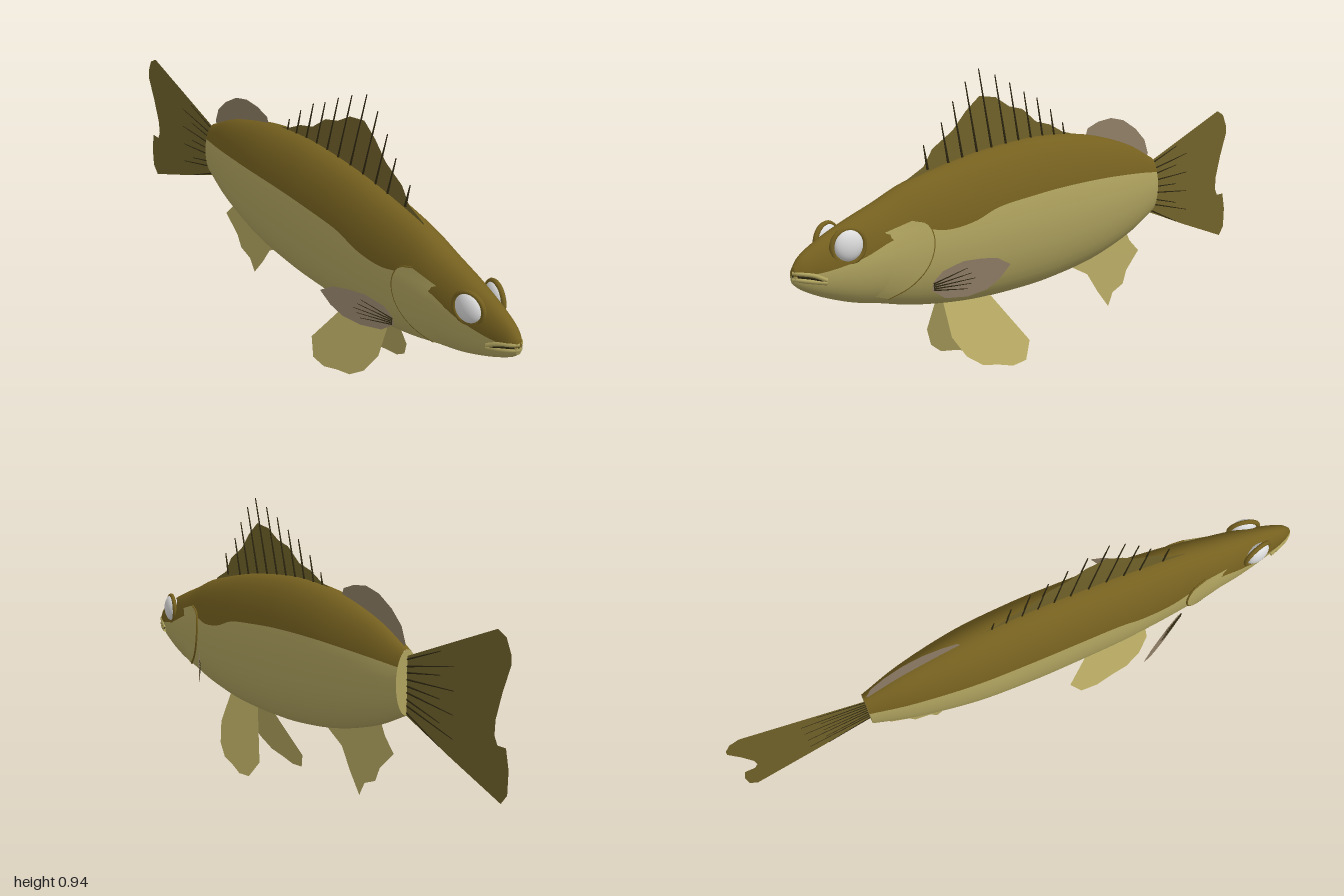
import * as THREE from 'three';

const mat = (name, color, side = THREE.FrontSide) => {
  const m = new THREE.MeshStandardMaterial({ color, side });
  m.name = name;
  return m;
};

// Body stations from nose to tail: z, top y, bottom y, half width, y of the colour boundary
const STATIONS = [
  [1.0, 0.452, 0.405, 0.012, 0.43], [0.97, 0.485, 0.382, 0.028, 0.43], [0.9, 0.522, 0.348, 0.046, 0.435],
  [0.8, 0.56, 0.312, 0.066, 0.455], [0.7, 0.593, 0.288, 0.079, 0.49], [0.6, 0.63, 0.262, 0.089, 0.505],
  [0.5, 0.653, 0.244, 0.099, 0.492], [0.4, 0.672, 0.23, 0.106, 0.502], [0.3, 0.687, 0.222, 0.111, 0.53],
  [0.15, 0.7, 0.219, 0.114, 0.543], [0, 0.703, 0.224, 0.115, 0.55], [-0.2, 0.682, 0.248, 0.107, 0.547],
  [-0.4, 0.628, 0.3, 0.077, 0.53], [-0.545, 0.56, 0.36, 0.041, 0.51],
];
const spline = (a, b) => new THREE.CatmullRomCurve3(
  STATIONS.map((s) => new THREE.Vector3(s[0], s[a], s[b])), false, 'catmullrom', 0.5);
const heights = spline(1, 2), widths = spline(3, 4);

function sectionAt(t) {
  const p = heights.getPoint(t), q = widths.getPoint(t);
  return { z: p.x, cy: (p.y + p.z) / 2, h: (p.y - p.z) / 2, w: q.y, yb: q.z };
}

// Half width of the body at a given z and y
function bodyX(z, y) {
  let lo = 0, hi = 1;
  for (let i = 0; i < 30; i++) {
    const mid = (lo + hi) / 2;
    if (heights.getPoint(mid).x > z) lo = mid; else hi = mid;
  }
  const s = sectionAt(lo);
  return s.w * Math.sqrt(Math.max(0, 1 - ((y - s.cy) / s.h) ** 2));
}

// Lofted elliptical body, split into back and belly along the boundary line
function bodyGeometry() {
  const ROWS = 90, UP = 9, LOW = 11, COLS = 2 * (UP + LOW);
  const pos = [], back = [], belly = [];
  for (let i = 0; i <= ROWS; i++) {
    const s = sectionAt(i / ROWS);
    const split = Math.acos(THREE.MathUtils.clamp((s.yb - s.cy) / s.h, -0.95, 0.95));
    for (let j = 0; j < COLS; j++) {
      const k = Math.min(j, COLS - j);
      const a = k <= UP ? (split * k) / UP : split + ((Math.PI - split) * (k - UP)) / LOW;
      pos.push((j <= COLS / 2 ? 1 : -1) * s.w * Math.sin(a), s.cy + s.h * Math.cos(a), s.z);
    }
  }
  const nose = pos.length / 3;
  pos.push(0, 0.43, 1.003);
  for (let j = 0; j < COLS; j++) {
    const n = (j + 1) % COLS;
    const out = j < UP || j >= COLS - UP ? back : belly;
    out.push(nose, n, j);
    for (let i = 0; i < ROWS; i++) {
      const a = i * COLS + j, b = i * COLS + n;
      out.push(a, b, a + COLS, b, b + COLS, a + COLS);
    }
  }
  const g = new THREE.BufferGeometry();
  g.setAttribute('position', new THREE.Float32BufferAttribute(pos, 3));
  g.setIndex([...back, ...belly]);
  g.addGroup(0, back.length, 0);
  g.addGroup(back.length, belly.length, 1);
  g.computeVertexNormals();
  return g;
}

export function createModel() {
  const root = new THREE.Group();
  const D = THREE.DoubleSide;
  const backMat = mat('olive back', 0x75601f);
  const bellyMat = mat('pale belly', 0xb0a35f, D);
  const tailMat = mat('olive fin', 0x71622a, D);
  const paleFin = mat('pale fin', 0xb8aa64, D);
  const brownFin = mat('brown fin', 0x8f7e66, D);
  const rayMat = mat('dark ray', 0x2e2710);
  const eyeMat = mat('eye white', 0xdcdcdc);

  const add = (name, geometry, material, parent = root) => {
    const m = new THREE.Mesh(geometry, material);
    m.name = name;
    parent.add(m);
    return m;
  };

  // Flat fin from a [z, y] outline; xOf(z, y) tilts it sideways
  const fin = (name, points, material, xOf = () => 0) => {
    const g = new THREE.ShapeGeometry(new THREE.Shape(points.map((p) => new THREE.Vector2(...p))));
    const p = g.attributes.position;
    for (let i = 0; i < p.count; i++) {
      const z = p.getX(i), y = p.getY(i);
      p.setXYZ(i, xOf(z, y), y, z);
    }
    g.computeVertexNormals();
    return add(name, g, material);
  };

  // Thin tapered ray between two [z, y] points
  const ray = (name, a, b, r, xOf = () => 0) => {
    const p = new THREE.Vector3(xOf(...a), a[1], a[0]), q = new THREE.Vector3(xOf(...b), b[1], b[0]);
    const d = q.clone().sub(p);
    const m = add(name, new THREE.CylinderGeometry(r * 0.4, r, d.length(), 5), rayMat);
    m.position.copy(p).add(q).multiplyScalar(0.5);
    m.quaternion.setFromUnitVectors(new THREE.Vector3(0, 1, 0), d.normalize());
  };

  const tube = (name, pts, r, material) => add(name, new THREE.TubeGeometry(
    new THREE.CatmullRomCurve3(pts.map((p) => new THREE.Vector3(...p))), 24, r, 6), material);

  add('body', bodyGeometry(), [backMat, bellyMat]);
  const end = add('tailStump', new THREE.CircleGeometry(1, 32), bellyMat);
  end.scale.set(0.041, 0.1, 1);
  end.rotation.y = Math.PI;
  end.position.set(0, 0.46, -0.545);

  // Spiny dorsal fin, leaning very slightly to one side
  const lean = (z, y) => Math.max(0, y - 0.69) * 0.04;
  fin('spinyDorsalFin', [[0.585, 0.62], [0.585, 0.638], [0.515, 0.67], [0.48, 0.72], [0.4, 0.765], [0.345, 0.82],
    [0.29, 0.86], [0.22, 0.85], [0.16, 0.815], [0.1, 0.8], [0.035, 0.752], [-0.03, 0.735], [-0.09, 0.705],
    [-0.145, 0.69], [-0.145, 0.67], [0.2, 0.67]], tailMat, lean);
  const spineTips = [[0.515, 0.735], [0.445, 0.795], [0.4, 0.855], [0.35, 0.91], [0.295, 0.945], [0.225, 0.92],
    [0.16, 0.89], [0.095, 0.855], [0.035, 0.83], [-0.03, 0.785], [-0.09, 0.735]];
  spineTips.forEach(([z, y]) => ray('dorsalSpine', [z - (y - 0.67) * 0.25, 0.66], [z, y], 0.0045, lean));

  // Soft dorsal fin
  fin('softDorsalFin', [[-0.2, 0.66], [-0.215, 0.7], [-0.27, 0.717], [-0.335, 0.722], [-0.4, 0.707], [-0.465, 0.67],
    [-0.515, 0.625], [-0.535, 0.575], [-0.52, 0.55], [-0.38, 0.61]], brownFin);

  // Tail fin with a fan of rays
  fin('tailFin', [[-0.53, 0.535], [-0.75, 0.613], [-0.94, 0.68], [-0.975, 0.662], [-0.995, 0.62], [-0.997, 0.59],
    [-0.965, 0.51], [-0.94, 0.43], [-0.937, 0.385], [-0.95, 0.36], [-0.985, 0.36], [-0.998, 0.3], [-0.995, 0.23],
    [-0.97, 0.2], [-0.75, 0.28], [-0.53, 0.365]], tailMat);
  for (let i = 0; i < 9; i++) {
    const k = i / 8;
    ray('tailRay', [-0.53, 0.375 + 0.15 * k], [-0.7 - 0.06 * (i % 2), 0.3 + 0.28 * k], 0.003);
  }

  // Anal fin
  fin('analFin', [[-0.1, 0.26], [-0.13, 0.238], [-0.215, 0.195], [-0.265, 0.125], [-0.32, 0.06], [-0.345, 0.105],
    [-0.4, 0.125], [-0.42, 0.17], [-0.487, 0.23], [-0.44, 0.275], [-0.41, 0.33], [-0.25, 0.29]], paleFin,
  (z, y) => Math.max(0, 0.28 - y) * 0.04);

  for (const s of [1, -1]) {
    const side = s > 0 ? 'left' : 'right';

    // Pelvic fin, splayed outwards
    const splay = (z, y) => s * (0.112 - 0.39 * y);
    fin(side + 'PelvicFin', [[0.46, 0.25], [0.463, 0.14], [0.425, 0.075], [0.37, 0.037], [0.31, 0.025], [0.25, 0.008],
      [0.19, 0.012], [0.153, 0.065], [0.265, 0.225], [0.28, 0.25]], paleFin, splay);

    // Pectoral fin with rays, swept back and out
    const swept = (z) => s * (0.085 + (0.565 - z) * 0.57);
    fin(side + 'PectoralFin', [[0.565, 0.315], [0.56, 0.34], [0.535, 0.372], [0.48, 0.398], [0.43, 0.402],
      [0.39, 0.4], [0.355, 0.378], [0.385, 0.335], [0.42, 0.305], [0.47, 0.288], [0.53, 0.288]], brownFin, swept);
    for (let i = 0; i < 5; i++) {
      ray(side + 'PectoralRay', [0.56, 0.315 + i * 0.005], [0.45 + 0.01 * Math.abs(i - 2), 0.312 + i * 0.016], 0.0025, swept);
    }

    // Eye and its socket rim
    const eye = add(side + 'Eye', new THREE.SphereGeometry(1, 28, 20), eyeMat);
    eye.scale.set(0.025, 0.047, 0.045);
    eye.position.set(s * 0.05, 0.498, 0.843);
    eye.rotation.y = s * -0.2;
    const rim = add(side + 'EyeSocket', new THREE.TorusGeometry(0.05, 0.008, 8, 32), backMat);
    rim.position.set(s * 0.05, 0.495, 0.843);
    rim.rotation.y = s * (Math.PI / 2 - 0.25);

    // Gill cover: a plate that lifts off the body towards its rear edge
    const edge = new THREE.CatmullRomCurve3([[0.63, 0.538], [0.58, 0.52], [0.562, 0.47], [0.58, 0.4], [0.63, 0.345], [0.7, 0.31]]
      .map(([z, y]) => new THREE.Vector3(0, y, z)));
    const U = 10, V = 18, g = new THREE.PlaneGeometry(1, 1, U, V), p = g.attributes.position;
    const rear = [];
    for (let j = 0; j <= V; j++) {
      const e = edge.getPoint(j / V);
      for (let i = 0; i <= U; i++) {
        const u = s > 0 ? i / U : 1 - i / U;
        const z = THREE.MathUtils.lerp(e.z, 0.77, s > 0 ? 1 - u : 1 - u);
        const y = THREE.MathUtils.lerp(e.y, 0.4 + (e.y - 0.4) * 0.75, 1 - u);
        p.setXYZ(j * (U + 1) + i, s * (bodyX(z, y) - 0.004 + 0.011 * u), y, z);
      }
      rear.push([s * (bodyX(e.z, e.y) + 0.004), e.y, e.z]);
    }
    g.computeVertexNormals();
    add(side + 'GillCover', g, bellyMat);
    tube(side + 'GillEdge', rear, 0.0035, backMat);

    // Lips, drooping to the corner of the mouth
    const lip = (dy) => [[0, 0.43 + dy, 1.0], [s * 0.016, 0.428 + dy, 0.988], [s * 0.031, 0.42 + dy, 0.955],
      [s * 0.042, 0.405 + dy * 0.4, 0.915]];
    tube(side + 'UpperLip', lip(0.008), 0.007, bellyMat);
    tube(side + 'MouthLine', lip(0), 0.005, rayMat);
    tube(side + 'LowerLip', lip(-0.01), 0.007, bellyMat);
  }
  return root;
}
